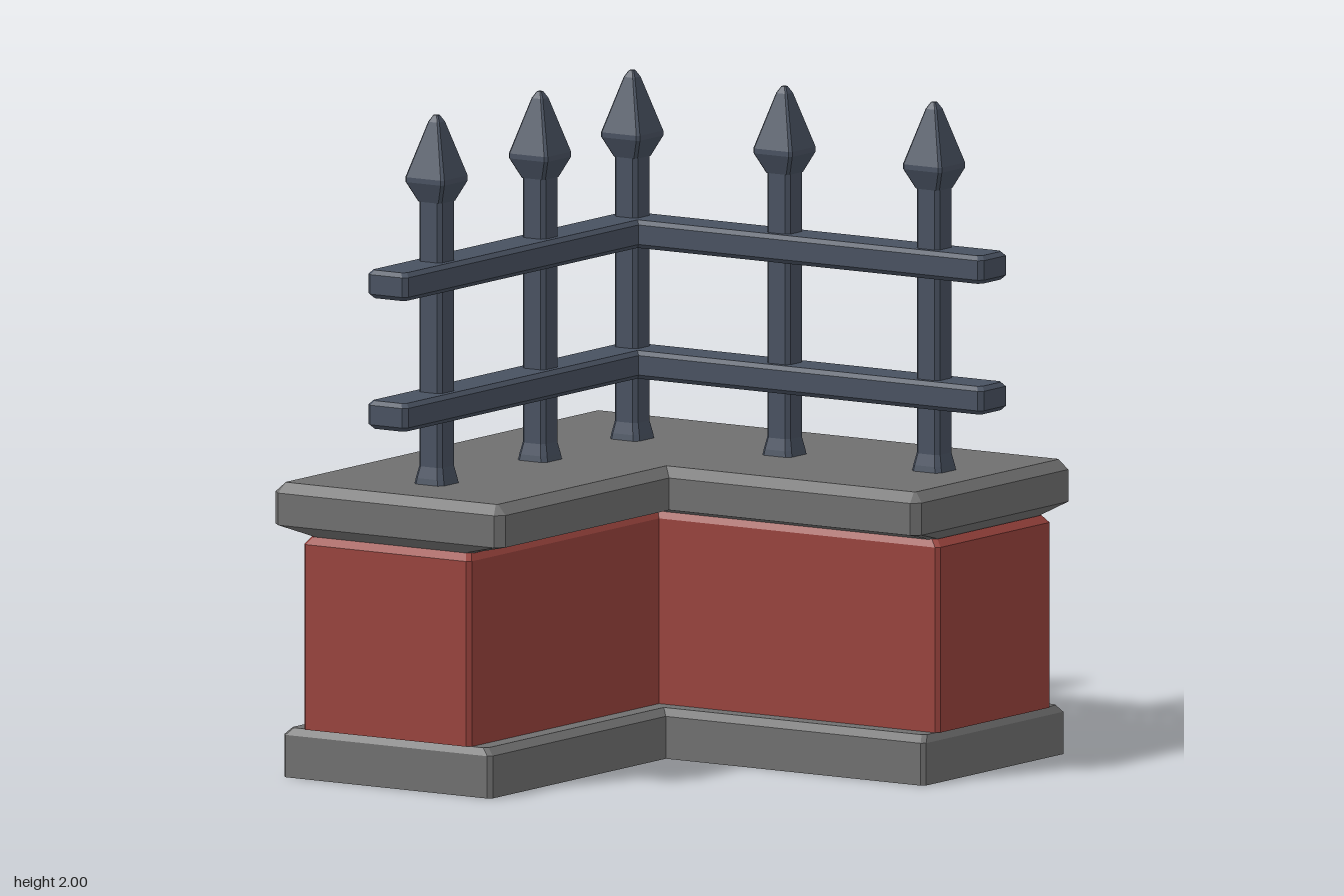
import * as THREE from 'three';

const stone = new THREE.MeshStandardMaterial({ color: 0x6f6f6f, side: THREE.DoubleSide });
stone.name = 'grey stone';
const brick = new THREE.MeshStandardMaterial({ color: 0x97423c, side: THREE.DoubleSide });
brick.name = 'red brick';
const iron = new THREE.MeshStandardMaterial({ color: 0x485160 });
iron.name = 'dark iron';

// Joins horizontal rings, listed from bottom to top, into a faceted skin
function loft(name, rings, material, closed = true) {
  const pos = [];
  const tri = (...pts) => pts.forEach(([p, y]) => pos.push(p[0], y, p[1]));
  for (let r = 0; r < rings.length - 1; r++) {
    const a = rings[r], b = rings[r + 1], n = a.pts.length;
    for (let j = 0; j < n; j++) {
      const k = (j + 1) % n;
      tri([a.pts[j], a.y], [a.pts[k], a.y], [b.pts[k], b.y]);
      tri([a.pts[j], a.y], [b.pts[k], b.y], [b.pts[j], b.y]);
    }
  }
  if (closed) {
    const fill = (ring, flip) => {
      const flat = ring.pts.map(([x, z]) => new THREE.Vector2(x, -z));
      for (const f of THREE.ShapeUtils.triangulateShape(flat, [])) {
        if (flip) f.reverse();
        tri(...f.map(i => [ring.pts[i], ring.y]));
      }
    };
    fill(rings[0], true);
    fill(rings[rings.length - 1], false);
  }
  const geo = new THREE.BufferGeometry();
  geo.setAttribute('position', new THREE.Float32BufferAttribute(pos, 3));
  geo.computeVertexNormals();
  const mesh = new THREE.Mesh(geo, material);
  mesh.name = name;
  return mesh;
}

// L-shaped ring: outer side at -o, inner side at i, arm ends at e, end corners cut by c
const ell = (y, o, i, e, c) => ({
  y,
  pts: [
    [-o, -o], [-o, e - c], [-o + c, e], [i - c, e], [i, e - c],
    [i, i], [e - c, i], [e, i - c], [e, -o + c], [e - c, -o],
  ],
});

// Square ring with cut corners
const square = (y, h, c) => ({
  y,
  pts: [
    [-h + c, -h], [-h, -h + c], [-h, h - c], [-h + c, h],
    [h - c, h], [h, h - c], [h, -h + c], [h - c, -h],
  ],
});

function picket(x, z) {
  const group = new THREE.Group();
  group.name = 'picket';
  group.add(
    // Bar with flared foot
    loft('picketBar', [
      square(0.88, 0.054, 0.014), square(0.905, 0.05, 0.014),
      square(0.94, 0.042, 0.012), square(1.76, 0.042, 0.012),
    ], iron),
    // Spear point
    loft('picketPoint', [
      square(1.74, 0.043, 0.008), square(1.8, 0.07, 0.008), square(1.815, 0.07, 0.008),
      square(1.98, 0.02, 0.005), square(2.0, 0.008, 0.003),
    ], iron),
  );
  group.position.set(x, 0, z);
  return group;
}

export function createModel() {
  const model = new THREE.Group();
  model.name = 'cornerFenceWall';

  // Plinth, open underneath, with a ledge running in to the bricks
  model.add(loft('plinth', [
    ell(0, 0.825, -0.072, 0.86, 0.012), ell(0.128, 0.825, -0.072, 0.86, 0.012),
    ell(0.15, 0.802, -0.095, 0.848, 0.012), ell(0.15, 0.752, -0.15, 0.845, 0.012),
  ], stone, false));

  // Hollow brick wall
  model.add(loft('brickWall', [
    ell(0.15, 0.752, -0.148, 0.86, 0.012), ell(0.71, 0.752, -0.148, 0.86, 0.012),
    ell(0.732, 0.738, -0.162, 0.84, 0.012),
  ], brick, false));

  // Coping slab with sloped underside
  model.add(loft('coping', [
    ell(0.73, 0.74, -0.16, 0.835, 0.02), ell(0.735, 0.755, -0.145, 0.84, 0.02),
    ell(0.76, 0.865, -0.035, 0.86, 0.025), ell(0.857, 0.865, -0.035, 0.86, 0.025),
    ell(0.887, 0.833, -0.067, 0.832, 0.005),
  ], stone));

  // Two rails that turn the corner
  for (const y of [1.08, 1.475]) {
    model.add(loft('rail', [
      ell(y, 0.51, -0.39, 0.848, 0.012), ell(y + 0.013, 0.522, -0.378, 0.86, 0.014),
      ell(y + 0.072, 0.522, -0.378, 0.86, 0.014), ell(y + 0.085, 0.51, -0.39, 0.848, 0.012),
    ], iron));
  }

  // Corner picket and two on each arm
  model.add(picket(-0.45, -0.45));
  model.add(picket(0.1, -0.45), picket(0.64, -0.45));
  model.add(picket(-0.45, 0.04), picket(-0.45, 0.59));

  return model;
}
